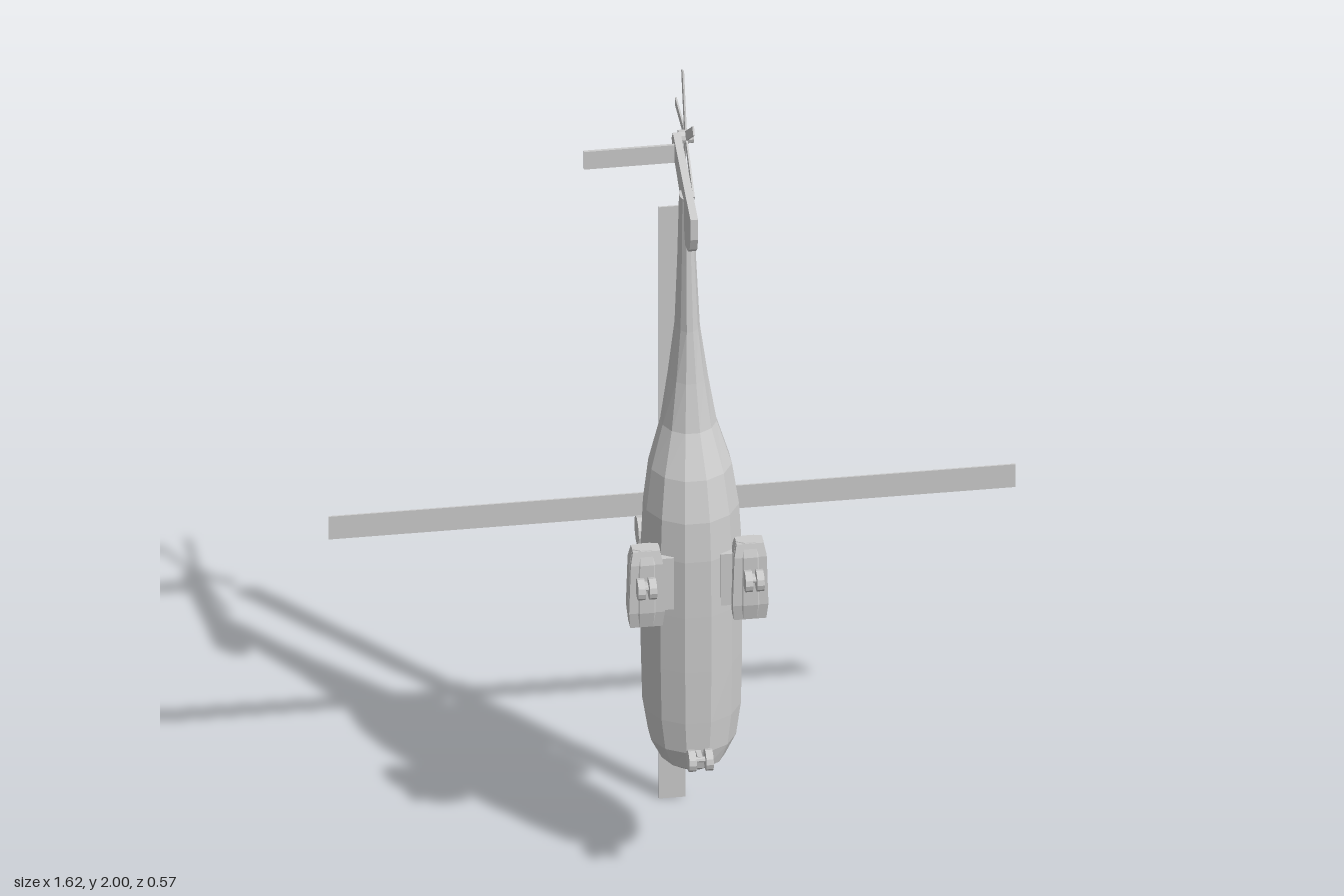
import * as THREE from 'three';

const grey = new THREE.MeshStandardMaterial({ color: 0xcccccc, flatShading: true });
grey.name = 'pale grey';

export function createModel() {
  const model = new THREE.Group();
  model.name = 'helicopter';

  function add(name, geometry, x = 0, y = 0, z = 0, parent = model) {
    const mesh = new THREE.Mesh(geometry, grey);
    mesh.name = name;
    mesh.position.set(x, y, z);
    parent.add(mesh);
    return mesh;
  }

  // Closed loft along y; each section is [y, zFront, zBack, halfWidth], top first
  function loft(sections, sides = 12) {
    const rows = sections.length - 1;
    const geo = new THREE.CylinderGeometry(1, 1, 1, sides, rows, false, Math.PI / sides);
    const p = geo.attributes.position;
    const k = 1 / Math.cos(Math.PI / sides);
    for (let i = 0; i < p.count; i++) {
      const [y, zf, zb, w] = sections[Math.round((0.5 - p.getY(i)) * rows)];
      p.setXYZ(i, p.getX(i) * w * k, y, (zf + zb) / 2 + p.getZ(i) * k * (zf - zb) / 2);
    }
    geo.computeVertexNormals();
    return geo;
  }

  const box = (w, h, d) => new THREE.BoxGeometry(w, h, d);
  const rodX = (r, len, n = 12) => new THREE.CylinderGeometry(r, r, len, n).rotateZ(Math.PI / 2);

  // Nose-down fuselage and tail boom
  add('fuselage', loft([
    [1.79, 0.06, 0.008, 0.016], [1.62, 0.077, 0.007, 0.021], [1.45, 0.095, 0.005, 0.028],
    [1.32, 0.115, 0.005, 0.045], [1.2, 0.14, 0.005, 0.064], [1.1, 0.19, 0.005, 0.095],
    [1.0, 0.217, 0.006, 0.109], [0.9, 0.226, 0.007, 0.114], [0.75, 0.229, 0.007, 0.115],
    [0.6, 0.229, 0.008, 0.115], [0.46, 0.228, 0.012, 0.112], [0.38, 0.226, 0.03, 0.1],
    [0.33, 0.215, 0.05, 0.075], [0.305, 0.18, 0.075, 0.045],
  ]));
  add('spineCover', box(0.01, 0.55, 0.012), 0, 1.48, 0.008);

  // Engine cowling on the back
  add('engineCowling', loft([
    [1.1, 0.03, 0.0, 0.015], [1.03, 0.03, -0.048, 0.045], [0.93, 0.03, -0.088, 0.07],
    [0.86, 0.03, -0.105, 0.08], [0.66, 0.03, -0.105, 0.08], [0.55, 0.03, -0.094, 0.068],
    [0.5, 0.03, -0.06, 0.045],
  ], 10));

  for (const s of [-1, 1]) {
    // Engine nacelle, intake cone and exhaust
    add('engineNacelle', loft([
      [1.02, 0.0, -0.012, 0.012], [0.88, 0.0, -0.055, 0.025],
      [0.65, 0.0, -0.06, 0.03], [0.52, -0.005, -0.06, 0.03],
    ], 10), s * 0.055);
    add('intakeCone', new THREE.LatheGeometry([
      [0, 0], [0.016, 0.01], [0.027, 0.035], [0.028, 0.055], [0.02, 0.09], [0, 0.09],
    ].map(([x, y]) => new THREE.Vector2(x, y)), 10), s * 0.048, 0.44, -0.043);
    add('exhaust', rodX(0.036, 0.06), s * 0.075, 0.83, -0.046);
    add('intakeKnob', new THREE.SphereGeometry(0.01, 8, 6), s * 0.06, 0.51, -0.01);

    // Side pod with its paired main wheels
    add('sidePod', loft([
      [0.945, 0.228, 0.195, 0.032], [0.91, 0.24, 0.186, 0.039],
      [0.78, 0.24, 0.186, 0.042], [0.737, 0.23, 0.193, 0.038],
    ], 8), s * 0.122, 0, 0);
    add('podFiller', loft([
      [0.943, 0.23, 0.195, 0.032], [0.91, 0.238, 0.185, 0.038],
      [0.78, 0.238, 0.185, 0.042], [0.737, 0.23, 0.193, 0.038],
    ], 4), s * 0.122);
    add('podMount', box(0.05, 0.14, 0.03), s * 0.08, 0.84, 0.2);
    for (const x of [0.113, 0.14]) add('mainWheel', rodX(0.026, 0.017), s * x, 0.86, 0.26);
    add('mainAxle', rodX(0.007, 0.03, 8), s * 0.126, 0.86, 0.258);
    add('mainStrut', box(0.01, 0.014, 0.03), s * 0.126, 0.86, 0.243);

    // Nose wheel and air-data probe
    add('noseWheel', rodX(0.026, 0.017), s * 0.02, 0.38, 0.26);
    add('probe', box(0.004, 0.06, 0.004), s * 0.06, 0.33, 0.07);
  }
  add('noseAxle', rodX(0.007, 0.04, 8), 0, 0.38, 0.258);
  add('noseStrut', box(0.012, 0.014, 0.04), 0, 0.38, 0.24);
  add('noseSensor', new THREE.CylinderGeometry(0.02, 0.015, 0.04, 10), 0, 0.297, 0.12);

  // Main rotor, its axis pointing to the back
  const rotor = new THREE.Group();
  rotor.name = 'mainRotor';
  rotor.position.set(0, 0.81, 0);
  model.add(rotor);
  add('mast', new THREE.CylinderGeometry(0.015, 0.018, 0.12, 10).rotateX(Math.PI / 2), 0, 0, -0.14, rotor);
  add('hub', new THREE.LatheGeometry([
    [0, -0.235], [0.02, -0.235], [0.035, -0.222], [0.04, -0.207], [0.022, -0.2], [0.022, -0.183], [0, -0.183],
  ].map(([x, y]) => new THREE.Vector2(x, y)), 12).rotateX(Math.PI / 2), 0, 0, 0, rotor);
  for (let i = 0; i < 4; i++) {
    const blade = add('rotorBlade', box(0.79, 0.062, 0.004).translate(0.414, 0, 0), 0, 0, -0.195, rotor);
    blade.rotation.z = i * Math.PI / 2;
  }

  // Tail fin: drawn with horizontal axis -z, then turned into the side plane
  const fin = new THREE.Shape([
    [-0.165, 1.8], [-0.165, 1.745], [-0.15, 1.71], [-0.125, 1.69], [-0.08, 1.68],
    [-0.04, 1.73], [0.0, 1.765], [0.08, 1.8], [0.12, 1.81], [0.14, 1.84], [0.12, 1.866],
  ].map(([x, y]) => new THREE.Vector2(x, y)));
  add('tailFin', new THREE.ExtrudeGeometry(fin, { depth: 0.018, bevelEnabled: false })
    .translate(0, 0, -0.009).rotateY(Math.PI / 2));
  add('stabilizer', box(0.22, 0.048, 0.007), -0.112, 1.825, -0.095);

  // Five-bladed tail rotor
  const tailRotor = new THREE.Group();
  tailRotor.name = 'tailRotor';
  tailRotor.position.set(0.022, 1.85, -0.125);
  model.add(tailRotor);
  add('tailHub', rodX(0.017, 0.034, 10), 0, 0, 0, tailRotor);
  for (let i = 0; i < 5; i++) {
    const blade = add('tailBlade', box(0.004, 0.022, 0.15).translate(0, 0, -0.083), 0, 0, 0, tailRotor);
    blade.rotation.x = i * Math.PI * 2 / 5;
  }
  return model;
}
